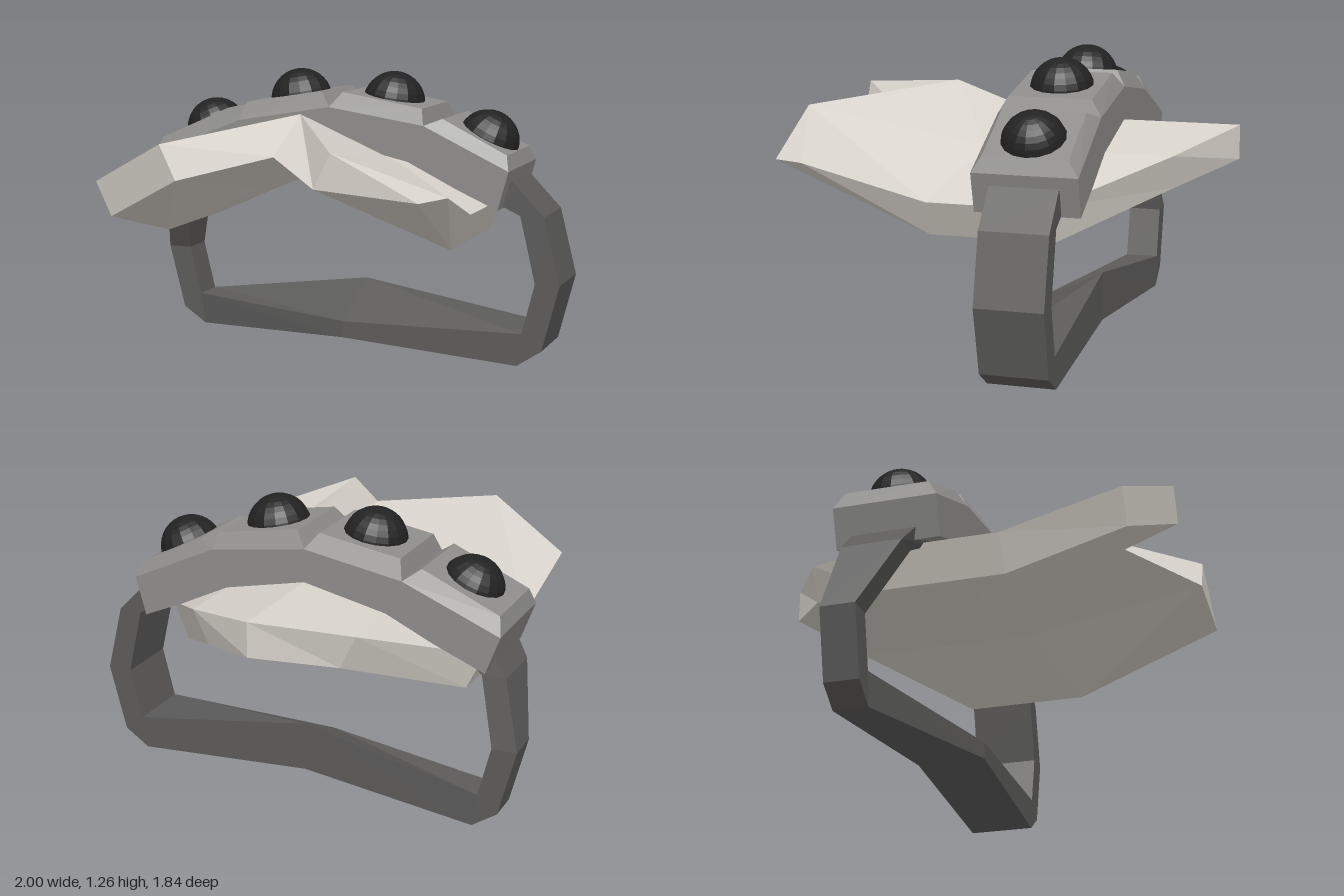
import * as THREE from 'three';

const mat = (color) => new THREE.MeshStandardMaterial({ color, flatShading: true });

// Flat-shaded mesh from a list of triangles, each made of three [x, y, z] corners
function faceted(name, tris, material) {
  const g = new THREE.BufferGeometry();
  g.setAttribute('position', new THREE.Float32BufferAttribute(tris.flat(2), 3));
  g.computeVertexNormals();
  const mesh = new THREE.Mesh(g, material);
  mesh.name = name;
  return mesh;
}

const quad = (a, b, c, d) => [[a, b, c], [a, c, d]];

// Joins four-cornered cross-sections and caps both ends
function loft(rings) {
  const tris = [];
  for (let i = 0; i < rings.length - 1; i++) {
    for (let k = 0; k < 4; k++) {
      const n = (k + 1) % 4;
      tris.push(...quad(rings[i][k], rings[i][n], rings[i + 1][n], rings[i + 1][k]));
    }
  }
  tris.push(...quad(...[...rings[0]].reverse()), ...quad(...rings[rings.length - 1]));
  return tris;
}

// Armour plate: upper and lower grids (back, middle, front rows) closed by a rim
function platePart(material) {
  const top = [
    [[-0.79, 0.715, -0.25], [-0.41, 0.89, -0.7], [-0.04, 0.97, -0.92], [0.33, 0.89, -0.7], [0.69, 0.715, -0.25]],
    [[-0.79, 0.715, 0.26], [-0.41, 0.89, 0.11], [-0.04, 0.97, -0.05], [0.33, 0.89, 0.11], [0.69, 0.715, 0.26]],
    [[-0.79, 0.845, 0.775], [-0.41, 1.035, 0.92], [-0.04, 1.115, 0.35], [0.33, 1.035, 0.92], [0.76, 0.865, 0.775]],
  ];
  const low = [
    [[-0.72, 0.56, -0.27], [-0.34, 0.745, -0.7], [-0.04, 0.82, -0.92], [0.26, 0.745, -0.7], [0.61, 0.56, -0.27]],
    [[-0.72, 0.56, 0.27], [-0.34, 0.745, 0.11], [-0.04, 0.82, -0.05], [0.26, 0.745, 0.11], [0.61, 0.56, 0.27]],
    [[-0.72, 0.7, 0.775], [-0.34, 0.89, 0.92], [-0.04, 0.965, 0.63], [0.26, 0.89, 0.92], [0.69, 0.86, 0.92]],
  ];
  const sheet = (rows) => {
    const out = [];
    for (let i = 0; i < 2; i++) {
      for (let j = 0; j < 4; j++) {
        const a = rows[i][j], b = rows[i + 1][j], c = rows[i + 1][j + 1], d = rows[i][j + 1];
        out.push(...(j < 2 ? quad(a, b, c, d) : quad(b, c, d, a)));
      }
    }
    return out;
  };
  const rim = (r) => [r[0][0], r[1][0], ...r[2], r[1][4], r[0][4], r[0][3], r[0][2], r[0][1]];
  const p = rim(top), q = rim(low);
  const tris = [...sheet(top), ...sheet(low).map((t) => [...t].reverse())];
  p.forEach((_, k) => {
    const n = (k + 1) % p.length;
    tris.push(...quad(p[k], q[k], q[n], p[n]));
  });
  return faceted('handPlate', tris, material);
}

export function createModel() {
  const model = new THREE.Group();
  const plateMat = mat(0xd6d1c9), barMat = mat(0x8e8d8b), strapMat = mat(0x5c5b5a), studMat = mat(0x222222);

  model.add(platePart(plateMat));

  // Arched knuckle bar
  const ZB = -0.41, ZF = 0.035;
  const upper = [[-0.91, 0.865], [-0.48, 1.04], [-0.04, 1.115], [0.4, 1.05], [0.785, 0.87]];
  const lower = [[-0.85, 0.7], [-0.43, 0.87], [-0.04, 0.95], [0.35, 0.87], [0.74, 0.7]];
  const barRings = upper.map(([x, y], i) => {
    const [u, v] = lower[i];
    return [[x, y, ZB], [x, y, ZF], [u, v, ZF], [u, v, ZB]];
  });
  model.add(faceted('knuckleBar', loft(barRings), barMat));

  // Bevelled blocks, each with a round stud: [x, y] of both top edges, then the stud centre
  const blocks = [
    [[-0.89, 0.94], [-0.55, 1.09], [-0.7, 0.975]],
    [[-0.455, 1.12], [-0.09, 1.18], [-0.265, 1.125]],
    [[0.01, 1.18], [0.38, 1.12], [0.185, 1.125]],
    [[0.475, 1.08], [0.765, 0.935], [0.625, 0.97]],
  ];
  const ring = ([x0, y0], [x1, y1], back, front) =>
    [[x0, y0, back], [x0, y0, front], [x1, y1, front], [x1, y1, back]];
  const studGeo = new THREE.SphereGeometry(0.14, 16, 10, 0, Math.PI * 2, 0, Math.PI * 0.6);
  blocks.forEach(([l, r, c], i) => {
    const base = ring(upper[i], upper[i + 1], ZB, ZF);
    const crown = ring(l, r, ZB + 0.045, ZF - 0.04);
    model.add(faceted('knuckleBlock' + (i + 1), loft([base, crown]), barMat));
    const stud = new THREE.Mesh(studGeo, studMat);
    stud.name = 'stud' + (i + 1);
    stud.position.set(c[0], c[1], -0.187);
    stud.rotation.z = Math.atan2(r[1] - l[1], r[0] - l[0]);
    model.add(stud);
  });

  // Palm strap: outer x, y, inner x, y, front z, back z, extra height of the inner back edge
  const stations = [
    [0.78, 0.82, 0.69, 0.73, -0.04, -0.33],
    [0.925, 0.67, 0.82, 0.67, -0.04, -0.33],
    [1, 0.375, 0.89, 0.375, -0.04, -0.33],
    [0.925, 0.08, 0.835, 0.15, -0.04, -0.33],
    [0.815, 0.005, 0.835, 0.15, -0.04, -0.33],
    [0, 0.06, 0, 0.135, -0.03, -0.33, 0.145],
    [-0.815, 0.005, -0.835, 0.15, -0.26, -0.41],
    [-0.925, 0.08, -0.835, 0.15, -0.26, -0.41],
    [-1, 0.375, -0.89, 0.375, -0.26, -0.41],
    [-0.925, 0.67, -0.82, 0.67, -0.1, -0.36],
    [-0.83, 0.8, -0.73, 0.73, -0.04, -0.33],
  ];
  const strapRings = stations.map(([ox, oy, ix, iy, f, b, lift = 0]) =>
    [[ox, oy, b], [ox, oy, f], [ix, iy, f], [ix, iy + lift, b]]);
  model.add(faceted('palmStrap', loft(strapRings), strapMat));

  return model;
}
